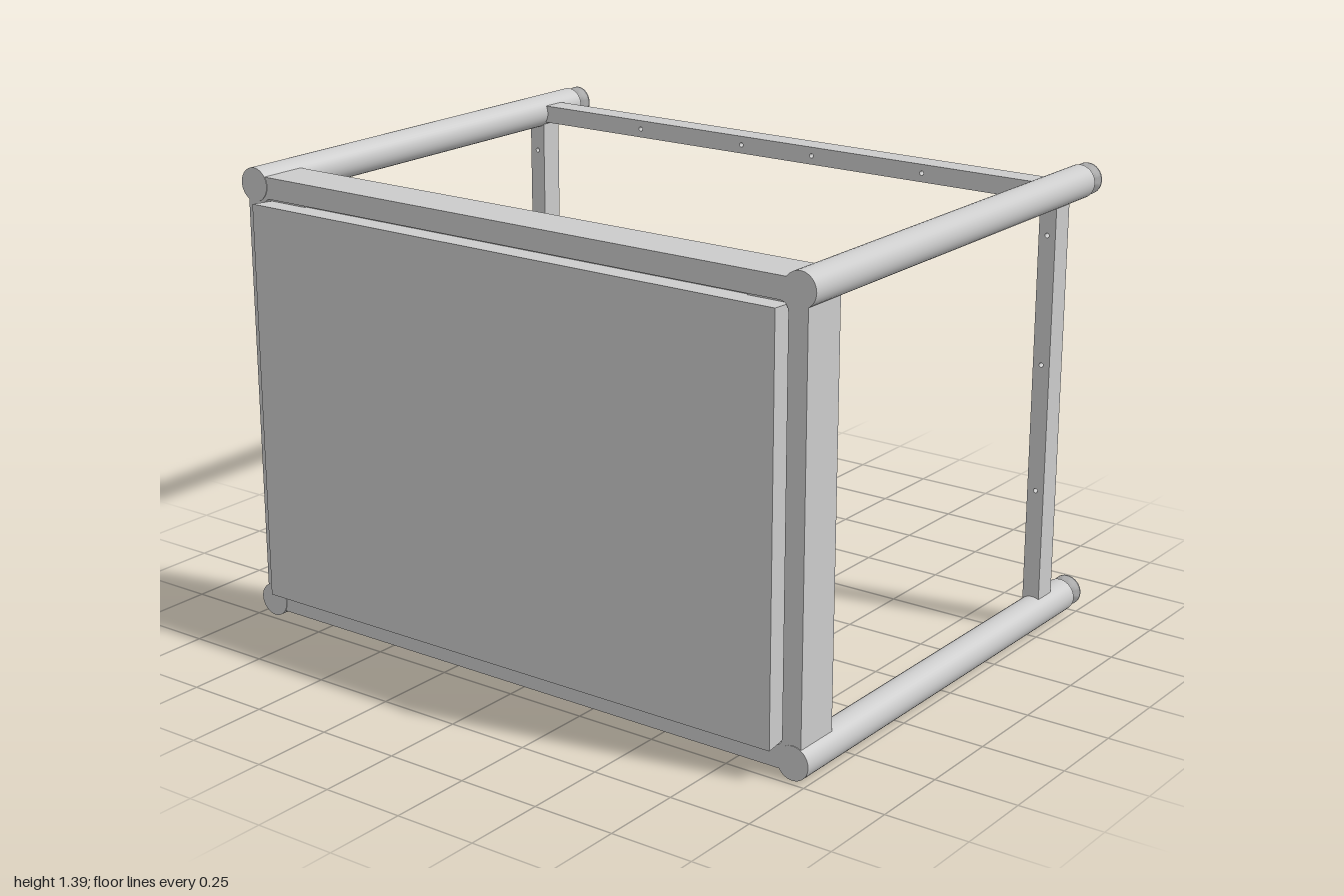
import * as THREE from 'three';
import { toCreasedNormals } from 'three/addons/utils/BufferGeometryUtils.js';

const material = new THREE.MeshStandardMaterial({ color: 0xcccccc });
const CY = 0.6975; // height of the centre line

function add(group, name, geometry, x = 0, y = 0, z = 0) {
  const mesh = new THREE.Mesh(geometry, material);
  mesh.name = name;
  mesh.position.set(x, y, z);
  group.add(mesh);
  return mesh;
}

// Closed outline through the points, with every corner rounded by r
function rounded(points, r, Type = THREE.Shape) {
  const p = points.map(([x, y]) => new THREE.Vector2(x, y));
  const path = new Type();
  p.forEach((c, i) => {
    const toward = (q) => c.clone().add(q.clone().sub(c).setLength(r));
    const a = toward(p[(i + p.length - 1) % p.length]);
    const b = toward(p[(i + 1) % p.length]);
    if (i === 0) path.moveTo(a.x, a.y);
    else path.lineTo(a.x, a.y);
    path.quadraticCurveTo(c.x, c.y, b.x, b.y);
  });
  path.closePath();
  return path;
}

// Mirrors a first-quadrant corner (listed counter-clockwise) into all four quadrants
function fourfold(corner) {
  const flipped = [...corner].reverse();
  return [
    ...corner,
    ...flipped.map(([x, y]) => [-x, y]),
    ...corner.map(([x, y]) => [-x, -y]),
    ...flipped.map(([x, y]) => [x, -y]),
  ];
}

function frameGeometry(outline, opening, r, depth) {
  const shape = rounded(outline, 0.004);
  shape.holes.push(rounded(fourfold(opening), r, THREE.Path));
  return new THREE.ExtrudeGeometry(shape, { depth, bevelEnabled: false, curveSegments: 6 });
}

export function createModel() {
  const model = new THREE.Group();
  model.name = 'table';

  // Table top, its edge flaring slightly towards the outer face
  const top = new THREE.BoxGeometry(1.82, 1.21, 0.09);
  const pos = top.attributes.position;
  for (let i = 0; i < pos.count; i++) {
    if (pos.getZ(i) < 0) pos.setXY(i, pos.getX(i) * 0.993, pos.getY(i) * 0.99);
  }
  top.computeVertexNormals();
  add(model, 'tableTop', top, 0, CY, 0.735);
  add(model, 'underside', new THREE.BoxGeometry(1.86, 1.24, 0.012), 0, CY, 0.692);

  // Apron in three layers: rim with corner blocks, hollowed middle, front lip
  const outer = fourfold([[0.975, 0.675]]);
  const grooved = [ // channel along the lower rail, open downwards
    ...outer.slice(0, 3), [-0.76, -0.675], [-0.76, -0.62], [0.76, -0.62], [0.76, -0.675], outer[3],
  ];
  const notched = [[0.92, 0.47], [0.77, 0.47], [0.77, 0.613]];
  const scooped = [[0.92, 0.45], [0.87, 0.47], [0.79, 0.56], [0.77, 0.613]];
  add(model, 'apronRim', frameGeometry(outer, notched, 0.025, 0.022), 0, CY, 0.58);
  add(model, 'apronMiddle', frameGeometry(grooved, scooped, 0.01, 0.104), 0, CY, 0.602);
  add(model, 'apronLip', frameGeometry(outer, [[0.915, 0.611]], 0.03, 0.022), 0, CY, 0.706);

  // Corner gussets against the underside
  const gusset = [[0.92, 0.35], [0.68, 0.613]];
  add(model, 'cornerGussets', frameGeometry(outer.map(([x, y]) => [x * 0.97, y * 0.95]), gusset, 0.02, 0.03),
    0, CY, 0.66);

  // Legs, levelling feet and corner bolts
  const legGeometry = new THREE.CylinderGeometry(0.05, 0.05, 1.46, 40).rotateX(Math.PI / 2);
  const footProfile = [
    [0, 0], [0.047, 0], [0.047, 0.004], [0.038, 0.01], [0.024, 0.022], [0.014, 0.024], [0.014, 0.06], [0, 0.06],
  ].map(([r, h]) => new THREE.Vector2(r, h));
  const footGeometry = toCreasedNormals(new THREE.LatheGeometry(footProfile, 32), 0.6).rotateX(Math.PI / 2);
  const boltGeometry = new THREE.CylinderGeometry(0.022, 0.022, 0.08, 16).rotateX(Math.PI / 2);
  for (const sx of [-1, 1]) {
    for (const sy of [-1, 1]) {
      add(model, 'leg', legGeometry, sx * 0.95, CY + sy * 0.6475, 0);
      add(model, 'foot', footGeometry, sx * 0.95, CY + sy * 0.6475, -0.78);
      add(model, 'cornerBolt', boltGeometry, sx * 0.82, CY + sy * 0.51, 0.64);
    }
  }

  // Stretcher bar pierced by small screw holes along its length
  function stretcher(length, holes) {
    const h = length / 2;
    const shape = new THREE.Shape([[-h, -0.027], [h, -0.027], [h, 0.027], [-h, 0.027]]
      .map(([x, y]) => new THREE.Vector2(x, y)));
    for (const x of holes) {
      shape.holes.push(new THREE.Path().absarc(x, 0, 0.007, 0, Math.PI * 2, true));
    }
    return new THREE.ExtrudeGeometry(shape, { depth: 0.076, bevelEnabled: false, curveSegments: 6 });
  }
  add(model, 'backStretcher', stretcher(1.82, [-0.52, -0.13, 0.13, 0.52]), 0, 1.342, -0.632);
  const sideGeometry = stretcher(1.22, [-0.26, 0.13, 0.52]).rotateZ(Math.PI / 2);
  for (const sx of [-1, 1]) add(model, 'sideStretcher', sideGeometry, sx * 0.945, CY, -0.632);

  return model;
}
